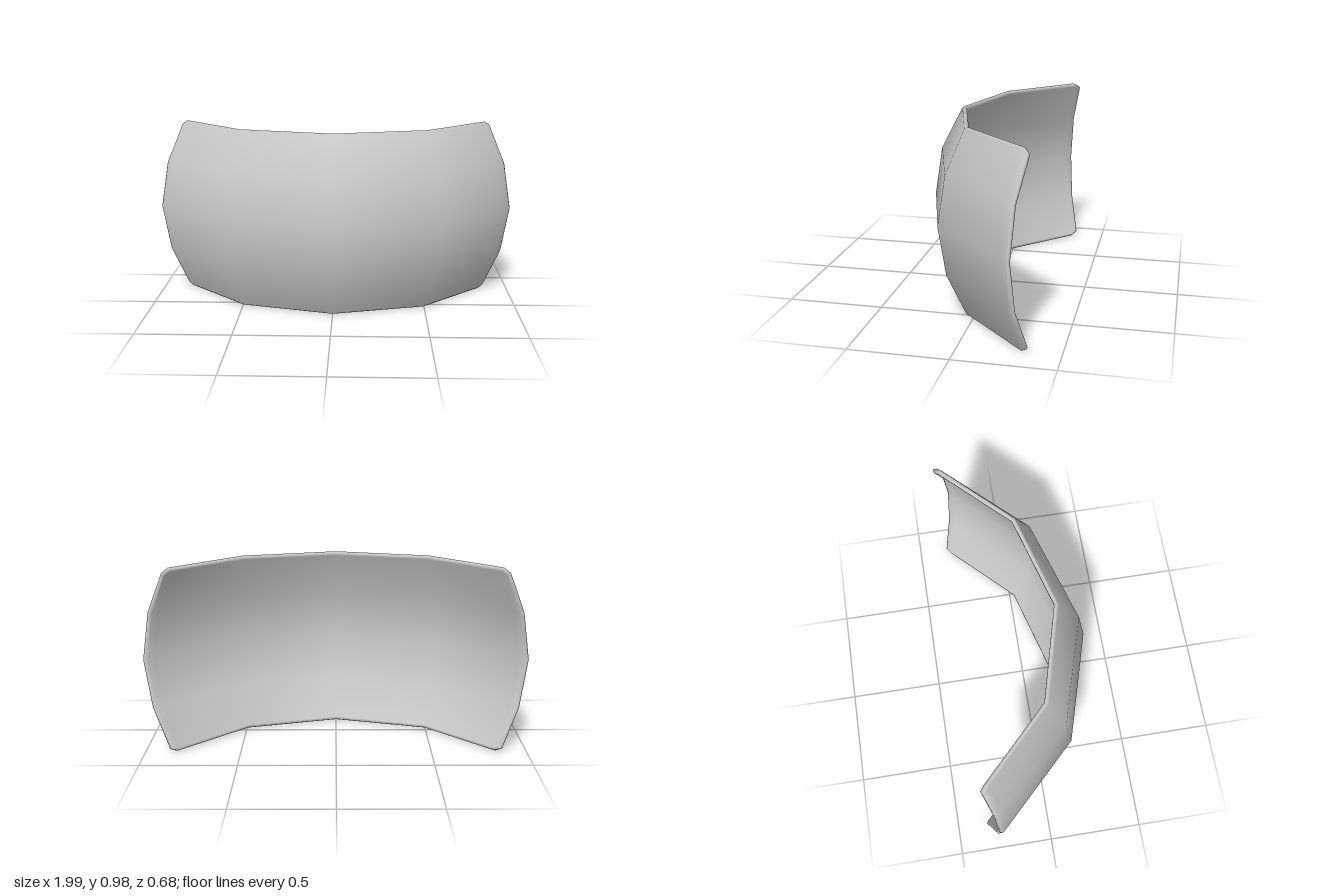
import * as THREE from 'three';

const COLS = 7, ROWS = 5, MID_Y = 0.49, THICK = 0.026, BEVEL = 0.013;

// Half outlines at three heights above the middle: centre, side bend, end as [x, z]
const OUTLINES = [
  { y: 0, pts: [[0, 0.337], [0.58, 0.165], [1.0, -0.265]] },
  { y: 0.257, pts: [[0, 0.297], [0.56, 0.13], [0.96, -0.283]] },
  { y: 0.492, pts: [[0, 0.176], [0.5, 0.04], [0.873, -0.33]] },
];

// Point of the curved sheet; columns run left to right, rows run top to bottom
function sheetPoint(col, row) {
  const c = col - 3, r = 2 - row;
  const { y, pts } = OUTLINES[Math.abs(r)];
  const at = (i) => new THREE.Vector3(pts[i][0], y, pts[i][1]);
  const k = Math.abs(c);
  const p = k < 2 ? at(k) : at(1).lerp(at(2), k === 2 ? 0.92 : 1);
  if (k === 3 && Math.abs(r) === 2) p.y -= 0.022; // clipped corner
  return p.set(p.x * Math.sign(c), MID_Y + p.y * Math.sign(r), p.z);
}

// Thin bent plate: front sheet, two rim rings and back sheet in one smooth skin
function plateGeometry() {
  const front = new THREE.PlaneGeometry(1, 1, COLS - 1, ROWS - 1);
  const count = COLS * ROWS;
  const base = [];
  for (let i = 0; i < count; i++) {
    const p = sheetPoint(i % COLS, Math.floor(i / COLS));
    base.push(p);
    front.attributes.position.setXYZ(i, p.x, p.y, p.z);
  }
  front.computeVertexNormals();

  const layers = [[0, BEVEL], [0.25, 0], [0.75, 0], [1, BEVEL]]; // depth, edge inset
  const positions = [];
  for (const [depth, inset] of layers) {
    for (let i = 0; i < count; i++) {
      const col = i % COLS, row = Math.floor(i / COLS);
      const n = new THREE.Vector3().fromBufferAttribute(front.attributes.normal, i);
      const p = base[i].clone().addScaledVector(n, -depth * THICK);
      const pull = (j) => p.addScaledVector(base[j].clone().sub(base[i]).normalize(), inset);
      if (col === 0) pull(i + 1);
      if (col === COLS - 1) pull(i - 1);
      if (row === 0) pull(i + COLS);
      if (row === ROWS - 1) pull(i - COLS);
      positions.push(p.x, p.y, p.z);
    }
  }

  // Front and back sheets
  const index = [];
  const quads = front.index.array;
  for (let i = 0; i < quads.length; i += 3) {
    const [a, b, c] = [quads[i], quads[i + 1], quads[i + 2]];
    index.push(a, b, c, c + 3 * count, b + 3 * count, a + 3 * count);
  }

  // Rim, walking clockwise round the border
  const border = [];
  for (let c = 0; c < COLS - 1; c++) border.push(c);
  for (let r = 0; r < ROWS - 1; r++) border.push(r * COLS + COLS - 1);
  for (let c = COLS - 1; c > 0; c--) border.push((ROWS - 1) * COLS + c);
  for (let r = ROWS - 1; r > 0; r--) border.push(r * COLS);
  for (let k = 0; k < 3; k++) {
    border.forEach((v, i) => {
      const a = v + k * count, b = border[(i + 1) % border.length] + k * count;
      index.push(a, b, b + count, a, b + count, a + count);
    });
  }

  const geometry = new THREE.BufferGeometry();
  geometry.setAttribute('position', new THREE.Float32BufferAttribute(positions, 3));
  geometry.setIndex(index);
  geometry.computeVertexNormals();
  return geometry;
}

export function createModel() {
  const model = new THREE.Group();
  model.name = 'curvedVisor';
  const plate = new THREE.Mesh(plateGeometry(), new THREE.MeshStandardMaterial({ color: 0xcccccc }));
  plate.name = 'visorPlate';
  model.add(plate);
  return model;
}
